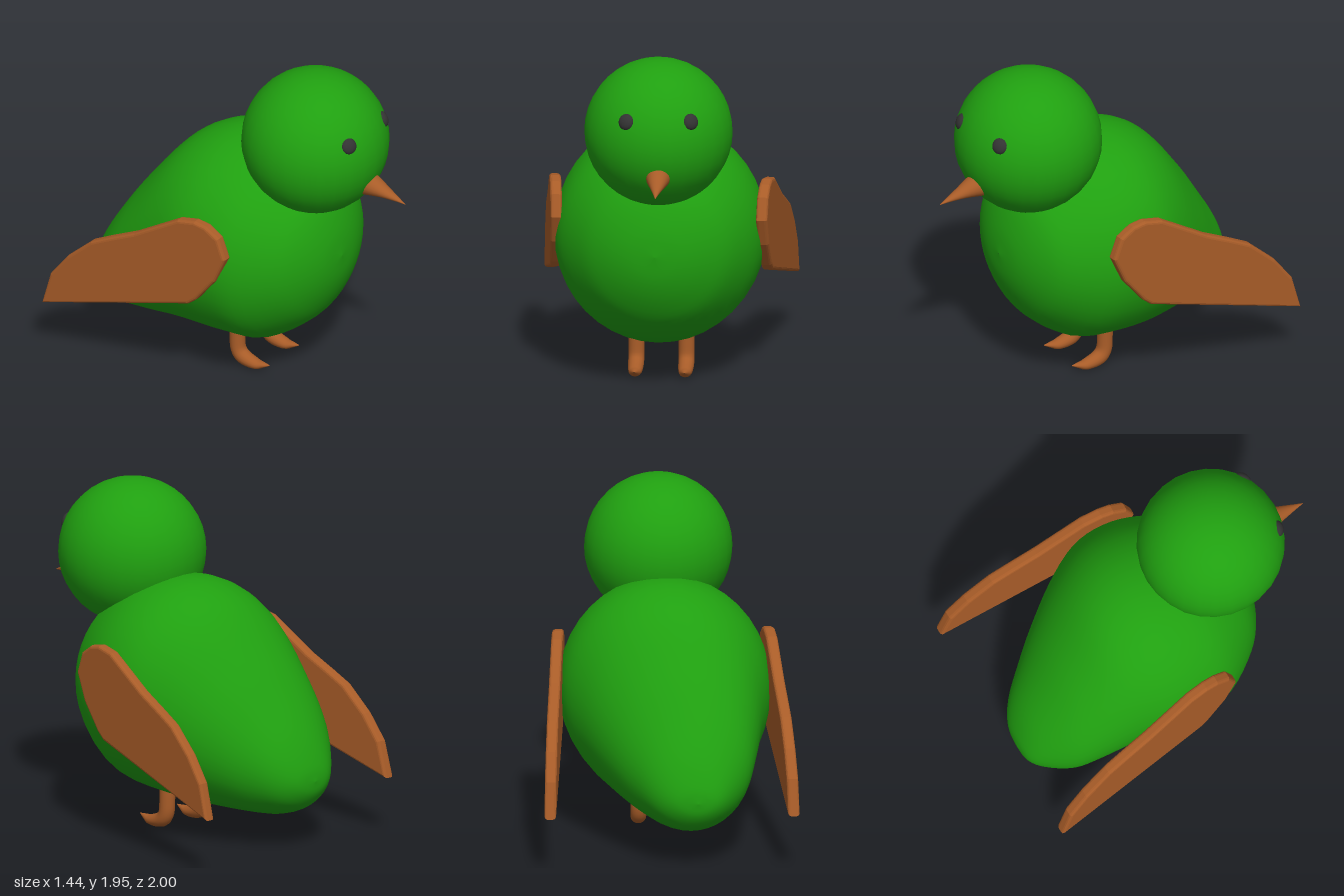
import * as THREE from 'three';

const green = new THREE.MeshStandardMaterial({ color: 0x20a010 });
const brown = new THREE.MeshStandardMaterial({ color: 0xa85c28 });
const dark = new THREE.MeshStandardMaterial({ color: 0x333333 });

// Smooth closed skin through elliptical sections [x, y, z, radiusX, radiusUp].
// Rings follow the path in the yz plane, or all face along `axis` when given.
function loft(sections, steps, sides, axis) {
  const path = new THREE.CatmullRomCurve3(
    sections.map(s => new THREE.Vector3(s[0], s[1], s[2])), false, 'catmullrom');
  const radii = new THREE.CatmullRomCurve3(
    sections.map(s => new THREE.Vector3(s[3], s[4], 0)), false, 'catmullrom');
  const positions = [], index = [];
  for (let i = 0; i <= steps; i++) {
    const c = path.getPoint(i / steps), r = radii.getPoint(i / steps);
    const d = axis || path.getTangent(i / steps);
    for (let j = 0; j < sides; j++) {
      const a = (j / sides) * Math.PI * 2;
      const u = Math.cos(a) * r.x, v = Math.sin(a) * r.y;
      positions.push(c.x + u, c.y + v * d.z, c.z - v * d.y);
      if (i < steps) {
        const k = (j + 1) % sides, p = i * sides, q = p + sides;
        index.push(p + j, p + k, q + k, p + j, q + k, q + j);
      }
    }
  }
  const geometry = new THREE.BufferGeometry();
  geometry.setAttribute('position', new THREE.Float32BufferAttribute(positions, 3));
  geometry.setIndex(index);
  geometry.computeVertexNormals();
  return geometry;
}

// Flat rounded wing, leaning outwards towards the tail
function wingGeometry(side) {
  const outline = [
    [0.2, 0.96], [0.155, 1.085], [0.075, 1.14], [0, 1.155], [-0.11, 1.135],
    [-0.395, 0.965], [-0.555, 0.89], [-0.675, 0.83], [-0.83, 0.69], [-0.94, 0.545],
    [-0.995, 0.34], [-0.04, 0.61], [0.01, 0.65], [0.13, 0.8],
  ];
  const shape = new THREE.Shape(outline.map(([z, y]) => new THREE.Vector2(-z, y)));
  const geometry = new THREE.ExtrudeGeometry(shape, {
    depth: 0.03, bevelThickness: 0.018, bevelSize: 0.018, bevelOffset: -0.018, bevelSegments: 3,
  });
  geometry.translate(0, 0, -0.015).rotateY(Math.PI / 2);
  const p = geometry.attributes.position;
  for (let i = 0; i < p.count; i++) {
    p.setX(i, p.getX(i) + side * (0.58 + 0.092 * (0.2 - p.getZ(i))));
  }
  geometry.computeVertexNormals();
  return geometry;
}

export function createModel() {
  const bird = new THREE.Group();
  bird.name = 'bird';
  const add = (name, geometry, material) => {
    const mesh = new THREE.Mesh(geometry, material);
    mesh.name = name;
    bird.add(mesh);
    return mesh;
  };

  // Body: round breast narrowing to a blunt tail, from front to back
  const body = [
    [0, 0.84, 0.58, 0.001, 0.001],
    [0, 0.84, 0.56, 0.16, 0.16],
    [0, 0.845, 0.5, 0.31, 0.32],
    [0, 0.835, 0.4, 0.435, 0.45],
    [-0.01, 0.825, 0.2, 0.56, 0.585],
    [-0.005, 0.835, 0, 0.6, 0.625],
    [-0.01, 0.822, -0.2, 0.585, 0.622],
    [-0.035, 0.763, -0.4, 0.51, 0.575],
    [-0.08, 0.64, -0.6, 0.42, 0.458],
    [-0.115, 0.535, -0.75, 0.335, 0.345],
    [-0.125, 0.455, -0.88, 0.225, 0.215],
    [-0.14, 0.415, -0.95, 0.12, 0.09],
    [-0.15, 0.41, -0.967, 0.001, 0.001],
  ];
  add('body', loft(body, 48, 40, new THREE.Vector3(0, 0, -1)), green);

  // Head
  const head = add('head', new THREE.SphereGeometry(0.42, 28, 20), green);
  head.position.set(0.01, 1.53, 0.387);

  // Eyes: flattened beads lying on the head
  for (const [name, x, z] of [['rightEye', -0.15, 0.735], ['leftEye', 0.21, 0.71]]) {
    const eye = add(name, new THREE.SphereGeometry(0.047, 14, 10), dark);
    const outward = new THREE.Vector3(x, 1.675, z).sub(head.position).normalize();
    eye.position.copy(head.position).addScaledVector(outward, 0.41);
    eye.lookAt(eye.position.clone().add(outward));
    eye.scale.z = 0.6;
  }

  // Beak: cone drooping to a point
  add('beak', loft([
    [0.03, 1.355, 0.7, 0.07, 0.075],
    [0.03, 1.352, 0.76, 0.067, 0.066],
    [0.03, 1.335, 0.85, 0.044, 0.036],
    [0.03, 1.315, 0.94, 0.018, 0.014],
    [0.03, 1.3, 1, 0.001, 0.001],
  ], 12, 20), brown);

  // Wings and legs, one pair each
  for (const side of [-1, 1]) {
    const label = side > 0 ? 'left' : 'right';
    add(label + 'Wing', wingGeometry(side), brown);

    // Leg bending forward into a pointed foot
    const x = side * 0.142;
    add(label + 'Leg', loft([
      [x, 0.27, -0.047, 0.045, 0.045],
      [x, 0.18, -0.047, 0.045, 0.045],
      [x, 0.1, -0.04, 0.045, 0.045],
      [x, 0.055, -0.003, 0.045, 0.044],
      [x, 0.036, 0.08, 0.038, 0.031],
      [x, 0.044, 0.13, 0.022, 0.017],
      [x, 0.055, 0.178, 0.002, 0.002],
    ], 24, 16), brown);
  }
  return bird;
}
